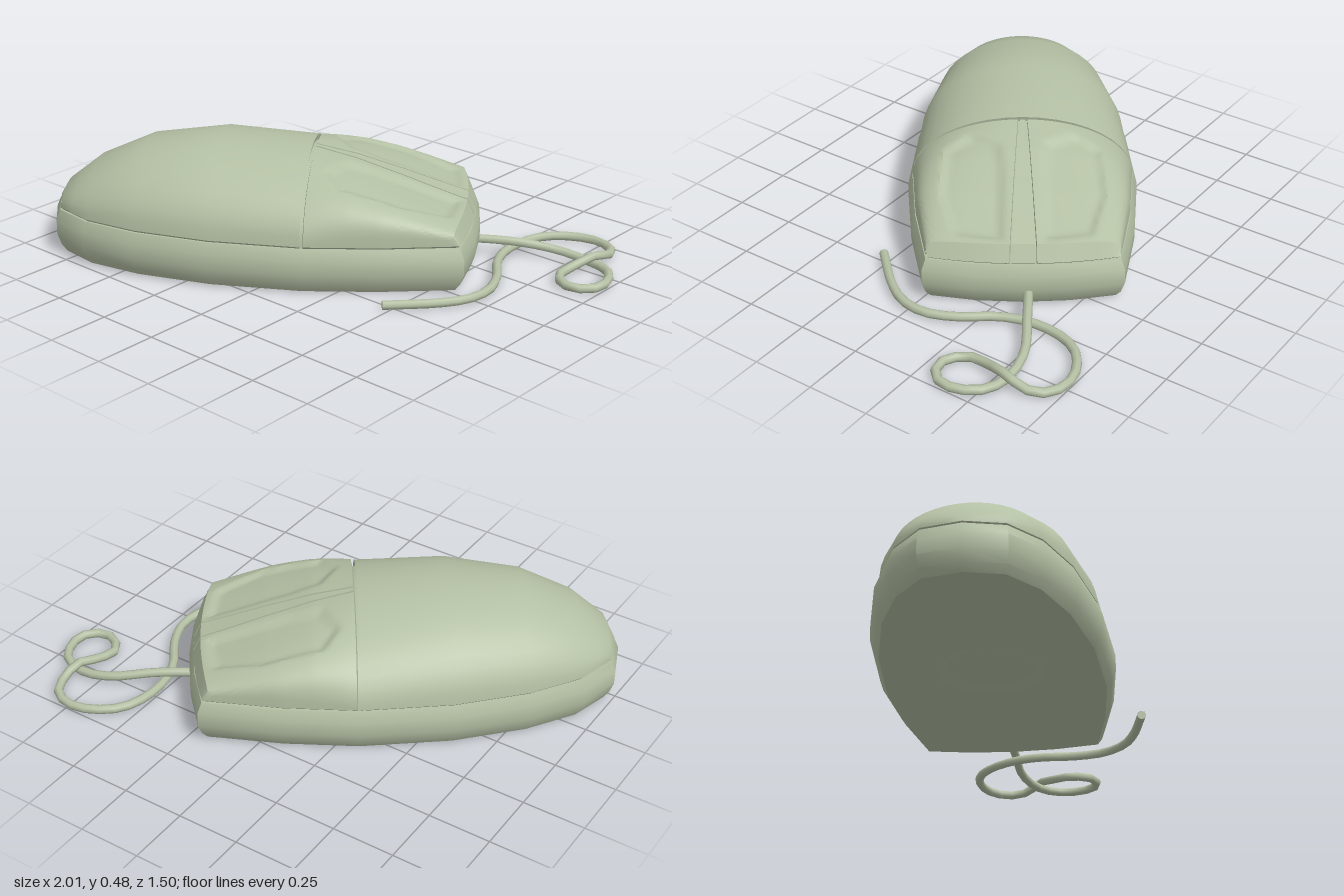
import * as THREE from 'three';
import { toCreasedNormals } from 'three/addons/utils/BufferGeometryUtils.js';

const material = new THREE.MeshStandardMaterial({ color: 0xb4c0a4, side: THREE.DoubleSide });

// Half outline of the body: [length, half width], nose to tail
const OUTLINE = [[0.6, 0.377], [0.3, 0.43], [0, 0.455], [-0.37, 0.428], [-0.67, 0.36],
  [-0.88, 0.27], [-1.01, 0.155], [-1.045, 0]];
// Height of the shell along the centre line
const CREST = [[0.6, 0.19], [0.575, 0.255], [0.35, 0.34], [0.17, 0.4], [0, 0.44], [-0.37, 0.475],
  [-0.67, 0.44], [-0.88, 0.35], [-1.01, 0.25], [-1.045, 0.19]];
// Thumb-shaped hollow in each button
const HOLLOW = [[0.127, 0.085], [0.055, 0.21], [0.125, 0.32], [0.366, 0.335], [0.55, 0.275], [0.565, 0.07], [0.24, 0.07]];
const RIM = 0.19;

function lookup(table, u) {
  for (let i = 1; i < table.length; i++) {
    const [a, va] = table[i - 1], [b, vb] = table[i];
    if (u >= b) return va + (vb - va) * Math.min(1, Math.max(0, (a - u) / (a - b)));
  }
  return table[table.length - 1][1];
}

// Shrinks a plan position towards the middle by about d
const inset = (u, v, d) => [-0.2 + (u + 0.2) * (1 - d / 0.84), v * (1 - d / 0.45)];

function mesh(name, geometry) {
  const m = new THREE.Mesh(geometry, material);
  m.name = name;
  return m;
}

// Skin over rows of points
function grid(name, rows, crease = 0.55) {
  const n = rows[0].length, index = [];
  for (let i = 0; i < rows.length - 1; i++) {
    for (let j = 0; j < n - 1; j++) {
      const a = i * n + j, c = a + n;
      index.push(a, a + 1, c, a + 1, c + 1, c);
    }
  }
  const g = new THREE.BufferGeometry();
  g.setAttribute('position', new THREE.Float32BufferAttribute(rows.flat(2), 3));
  g.setIndex(index);
  return mesh(name, toCreasedNormals(g.toNonIndexed(), crease));
}

// How far the hollow sinks the surface at a plan position
function hollowDepth(u, v) {
  let d = Infinity;
  HOLLOW.forEach(([au, av], i) => {
    const [bu, bv] = HOLLOW[(i + 1) % HOLLOW.length];
    const side = (bv - av) * (u - au) - (bu - au) * (v - av);
    d = Math.min(d, side / Math.hypot(bu - au, bv - av));
  });
  return 0.018 * Math.min(1, Math.max(0, d / 0.03));
}

// Point on the upper shell; s runs -1..1 across the width
function shellPoint(u, s, sink = 0) {
  const f = Math.max(0, u / 0.6);
  const p = 2 + 3 * f;
  const v = s * lookup(OUTLINE, u);
  const h = lookup(CREST, u) - RIM;
  const rise = h * Math.pow(Math.max(0, 1 - Math.abs(s) ** p), 1 / p);
  const dip = u < 0.58 ? hollowDepth(u, Math.abs(v)) : 0;
  const [x, z] = inset(u + 0.045 * f ** 3 * (1 - s * s), v, 0.02 + sink);
  return [x, RIM + rise - dip - sink, z];
}

// Shell panel with its edges turned down into the gaps
function panel(name, us, across, n, crease) {
  const rows = [];
  for (let i = -1; i <= us.length; i++) {
    const u = us[Math.min(us.length - 1, Math.max(0, i))];
    const row = [];
    for (let j = -1; j <= n + 1; j++) {
      const t = Math.min(1, Math.max(0, j / n));
      const edge = i < 0 || i === us.length || j < 0 || j > n;
      row.push(shellPoint(u, across(u, t), edge ? 0.02 : 0));
    }
    rows.push(row);
  }
  return grid(name, rows, crease);
}

const steps = (a, b, n) => Array.from({ length: n + 1 }, (_, i) => a + (b - a) * i / n);

// Closed plan loop of the body
function outlineLoop(d) {
  const side = [[0.634, 0.19], ...OUTLINE.slice(0, -1)];
  const loop = [[0.645, 0], ...side.map(([u, v]) => [u, -v]), [-1.045, 0], ...side.slice().reverse(), [0.645, 0]];
  return loop.map(([u, v]) => inset(u, v, d));
}

function createBase() {
  const base = new THREE.Group();
  base.name = 'base';
  const profile = [[0.005, 0.035], [0.035, 0.015], [0.08, 0], [0.14, 0], [0.182, 0.018], [0.182, 0.028], [0.165, 0.05]];
  base.add(grid('baseSide', profile.map(([y, d]) => outlineLoop(d).map(([u, v]) => [u, y, v])), 0.6));

  // Underside with a shallow eight-sided ball cover
  const octagon = r => Array.from({ length: 9 }, (_, i) => {
    const a = (i + 0.5) * Math.PI / 4;
    return [-0.2 + r * Math.cos(a), r * Math.sin(a)];
  });
  const toVec = ([x, y]) => new THREE.Vector2(x, y);
  const shape = new THREE.Shape(outlineLoop(0.035).slice(0, -1).map(toVec));
  shape.holes.push(new THREE.Path(octagon(0.22).slice(0, -1).map(toVec)));
  const floor = mesh('underside', new THREE.ShapeGeometry(shape).rotateX(Math.PI / 2));
  floor.position.y = 0.005;
  base.add(floor);
  const cover = [[0.22, 0.005], [0.17, 0.02], [0, 0.02]];
  base.add(grid('ballCover', cover.map(([r, y]) => octagon(r).map(([x, z]) => [x, y, z])), 0.2));
  return base;
}

function createCable() {
  const path = [[0.38, 0.065, -0.33], [0.55, 0.06, -0.44], [0.7, 0.035, -0.53], [0.83, 0.018, -0.55], [0.93, 0.018, -0.52],
    [0.982, 0.018, -0.44], [0.982, 0.018, -0.36], [0.93, 0.018, -0.31], [0.87, 0.018, -0.31], [0.81, 0.018, -0.37],
    [0.82, 0.03, -0.46], [0.85, 0.05, -0.55], [0.855, 0.025, -0.64], [0.82, 0.018, -0.71], [0.74, 0.018, -0.74],
    [0.65, 0.018, -0.72], [0.56, 0.018, -0.65], [0.52, 0.018, -0.55], [0.52, 0.018, -0.42], [0.56, 0.018, -0.31],
    [0.64, 0.018, -0.2], [0.69, 0.018, -0.08], [0.68, 0.018, 0.03], [0.62, 0.018, 0.13], [0.475, 0.018, 0.285]];
  const curve = new THREE.CatmullRomCurve3(path.map(p => new THREE.Vector3(...p)));
  const cable = new THREE.Group();
  cable.name = 'cable';
  cable.add(mesh('cord', new THREE.TubeGeometry(curve, 48, 0.018, 8)));
  const end = mesh('cordEnd', new THREE.CircleGeometry(0.018, 8));
  end.position.copy(curve.getPoint(1));
  end.lookAt(end.position.clone().add(curve.getTangent(1)));
  cable.add(end);
  return cable;
}

export function createModel() {
  const model = new THREE.Group();
  model.name = 'computerMouse';
  const body = new THREE.Group();
  body.name = 'body';
  body.rotation.y = 0.61;
  body.position.set(-0.085, 0, 0.02);
  model.add(body, createCable());
  body.add(createBase());

  // Palm rest behind the cross seam
  const round = t => Math.sin((t - 0.5) * Math.PI);
  body.add(panel('palmRest', [-1.045, -1.03, -1.01, -0.95, -0.88, -0.67, -0.37, -0.007], (u, t) => round(t), 20, 0.75));

  // Two buttons and the tapered strip between them
  const us = [...steps(0.007, 0.575, 38), 0.6];
  const stripEdge = u => (0.01 + 0.06 * u) / lookup(OUTLINE, u);
  const gap = 0.02;
  const inner = u => stripEdge(u) + gap;
  const reach = (u, t) => inner(u) + (1 - inner(u)) * Math.sin(t * Math.PI / 2);
  body.add(panel('leftButton', us, (u, t) => reach(u, t), 30));
  body.add(panel('rightButton', us, (u, t) => -reach(u, 1 - t), 30));
  body.add(panel('centreStrip', us, (u, t) => stripEdge(u) * (2 * t - 1), 2));

  // Inner core that closes the seams
  const core = [-0.1, 0, 0.1, 0.2, 0.35, 0.5, 0.575, 0.6].map(u => steps(0, 1, 20).map(t => {
    const [x, y, z] = shellPoint(u, round(t), 0.018);
    return [x, y - 0.004, z];
  }));
  body.add(grid('innerCore', core));
  return model;
}
